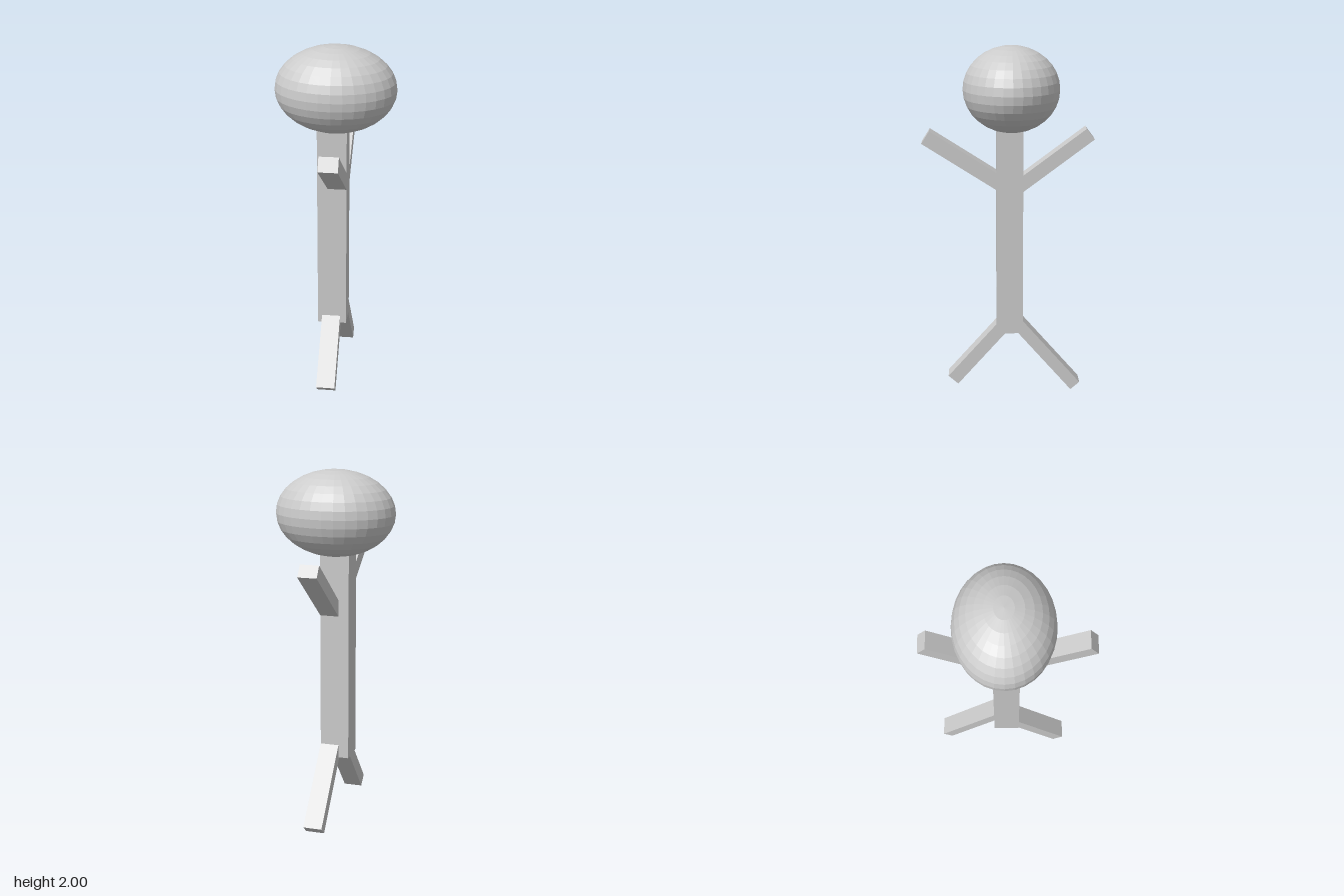
import * as THREE from 'three';

const material = new THREE.MeshStandardMaterial({ color: 0xcccccc, flatShading: true });

// Square-ended bar in the y-z plane, from a root inside the torso to its tip.
function limb(name, x, thickness, root, tip) {
  const dz = tip[0] - root[0];
  const dy = tip[1] - root[1];
  const mesh = new THREE.Mesh(new THREE.BoxGeometry(0.106, thickness, Math.hypot(dz, dy)), material);
  mesh.name = name;
  mesh.position.set(x, (root[1] + tip[1]) / 2, (root[0] + tip[0]) / 2);
  mesh.rotation.x = Math.atan2(-dy, dz);
  return mesh;
}

export function createModel() {
  const group = new THREE.Group();
  group.name = 'stickFigure';

  // Wide, faceted egg-shaped head
  const head = new THREE.Mesh(new THREE.SphereGeometry(1, 32, 16), material);
  head.name = 'head';
  head.scale.set(0.335, 0.24, 0.27);
  head.position.set(0, 1.76, -0.02);
  group.add(head);

  // Long square post for the torso
  const torso = new THREE.Mesh(new THREE.BoxGeometry(0.165, 1.245, 0.15), material);
  torso.name = 'torso';
  torso.position.set(-0.0125, 0.9775, -0.01);
  group.add(torso);

  // Arms and legs: points are [z, y]
  group.add(
    limb('frontArm', 0.017, 0.083, [0.02, 1.224], [0.458, 1.503]),
    limb('backArm', 0.017, 0.075, [-0.04, 1.205], [-0.458, 1.518]),
    limb('frontLeg', -0.018, 0.075, [0.03, 0.383], [0.32, 0.056]),
    limb('backLeg', 0.017, 0.068, [-0.04, 0.429], [-0.391, 0.026])
  );
  return group;
}
